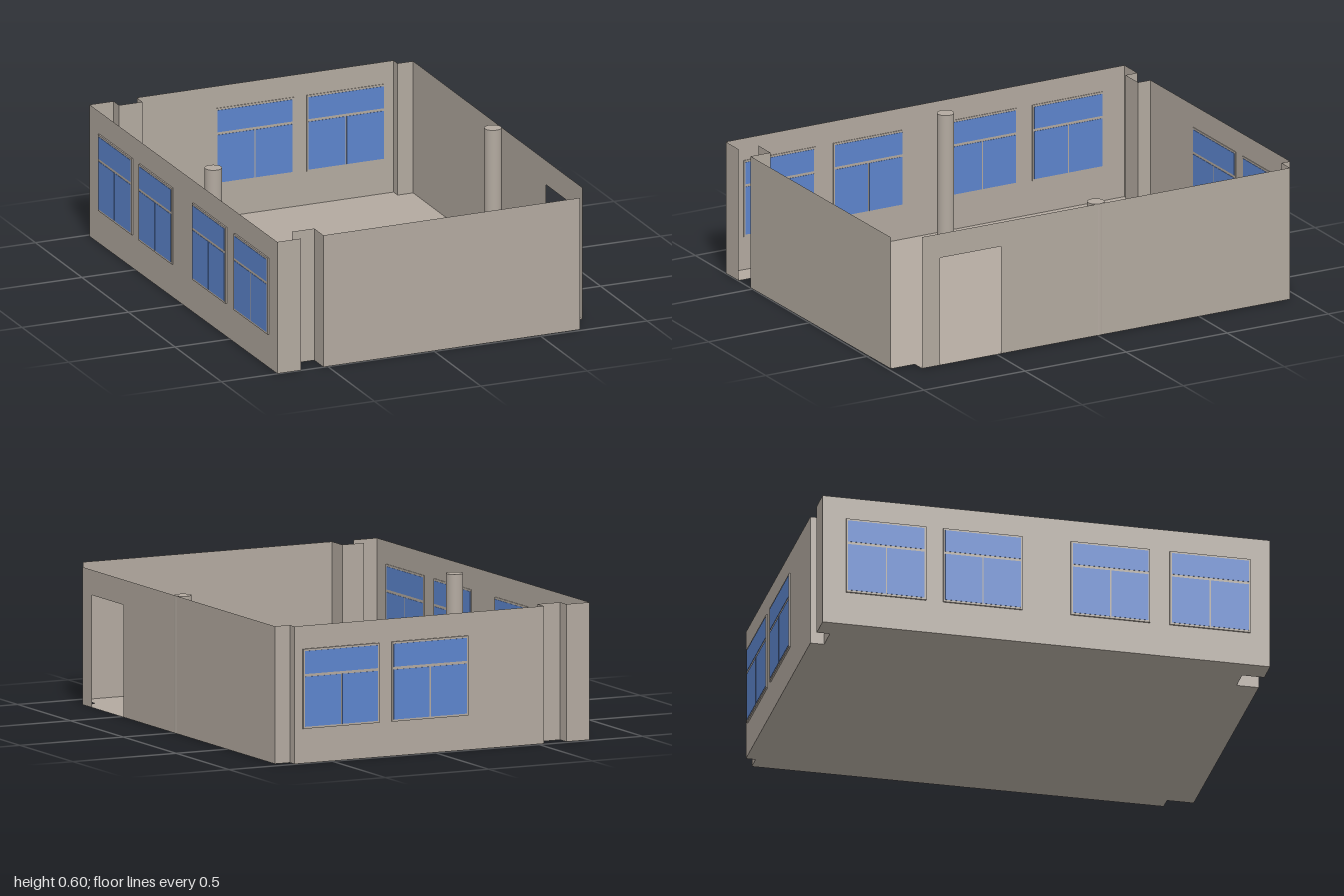
import * as THREE from 'three';

const plaster = new THREE.MeshStandardMaterial({ color: 0xb2a99f, side: THREE.DoubleSide });
plaster.name = 'plaster';
const glass = new THREE.MeshStandardMaterial({ color: 0x5c84cc });
glass.name = 'blue glass';

const HEIGHT = 0.6;

// Floor outline [x, z], starting at the front left and running to the right
const outline = [
  [-0.737, 0.998], [-0.625, 0.998], [-0.625, 0.9], [-0.52, 0.9], [-0.52, 0.998],
  [0.69, 0.988], [0.69, 0.87], [0.753, 0.87], [0.753, -0.95], [0.68, -0.95],
  [0.68, -0.993], [-0.53, -0.986], [-0.53, -0.925], [-0.64, -0.925],
  [-0.64, -0.983], [-0.753, -0.983],
];
const openSides = [1, 5, 6]; // outline edges without a wall
const DOOR_WALL = 7, BACK_WALL = 10, WINDOW_WALL = 15;

function add(parent, name, geometry, material, x = 0, y = 0, z = 0) {
  const mesh = new THREE.Mesh(geometry, material);
  mesh.name = name;
  mesh.position.set(x, y, z);
  parent.add(mesh);
  return mesh;
}

// Casement with one wide pane above two tall ones, spanning u0..u1 along a wall
function makeWindow(u0, u1) {
  const g = new THREE.Group();
  g.name = 'window';
  const mid = (u0 + u1) / 2, m = 0.008, bar = 0.003;
  add(g, 'windowFrame', new THREE.BoxGeometry(u1 - u0, 0.348, 0.01), plaster, mid, 0.325, 0.002);
  const panes = [
    [u0 + m, u1 - m, 0.39, 0.49],
    [u0 + m, mid - bar, 0.16, 0.378],
    [mid + bar, u1 - m, 0.16, 0.378],
  ];
  for (const [a, b, y0, y1] of panes) {
    add(g, 'pane', new THREE.BoxGeometry(b - a, y1 - y0, 0.013), glass, (a + b) / 2, (y0 + y1) / 2, 0.002);
  }
  return g;
}

// Upright sheet from a to b, facing outwards, with an optional doorway
function makeWall(a, b, name, door) {
  const dx = b[0] - a[0], dz = b[1] - a[1], len = Math.hypot(dx, dz);
  const pts = [[0, 0]];
  if (door) pts.push([door[0], 0], [door[0], 0.49], [door[1], 0.49], [door[1], 0]);
  pts.push([len, 0], [len, HEIGHT], [0, HEIGHT]);
  const g = new THREE.Group();
  g.name = name;
  g.position.set(a[0], 0, a[1]);
  g.rotation.y = Math.atan2(-dz, dx);
  const shape = new THREE.Shape(pts.map(p => new THREE.Vector2(...p)));
  add(g, 'wallPanel', new THREE.ShapeGeometry(shape), plaster);
  return g;
}

export function createModel() {
  const room = new THREE.Group();
  room.name = 'room';

  // Floor
  const floorShape = new THREE.Shape(outline.map(([x, z]) => new THREE.Vector2(x, -z)));
  const floor = new THREE.ShapeGeometry(floorShape).rotateX(-Math.PI / 2);
  add(room, 'floor', floor, plaster);

  // Walls around the outline
  outline.forEach((a, i) => {
    if (openSides.includes(i)) return;
    const b = outline[(i + 1) % outline.length];
    const name = { 4: 'frontWall', 7: 'doorWall', 10: 'backWall', 15: 'windowWall' }[i] || 'cornerWall';
    const wall = makeWall(a, b, name, i === DOOR_WALL ? [0.09, 0.39] : null);
    if (i === BACK_WALL) {
      for (const [x1, x0] of [[0.64, 0.27], [0.21, -0.16]]) wall.add(makeWindow(a[0] - x1, a[0] - x0));
    }
    if (i === WINDOW_WALL) {
      for (const [z0, z1] of [[-0.88, -0.525], [-0.45, -0.1], [0.115, 0.465], [0.553, 0.91]]) {
        wall.add(makeWindow(z0 - a[1], z1 - a[1]));
      }
    }
    room.add(wall);
  });

  // Two round columns
  for (const x of [-0.597, 0.717]) {
    add(room, 'column', new THREE.CylinderGeometry(0.0375, 0.0375, HEIGHT, 32), plaster, x, HEIGHT / 2, -0.01);
  }
  return room;
}
